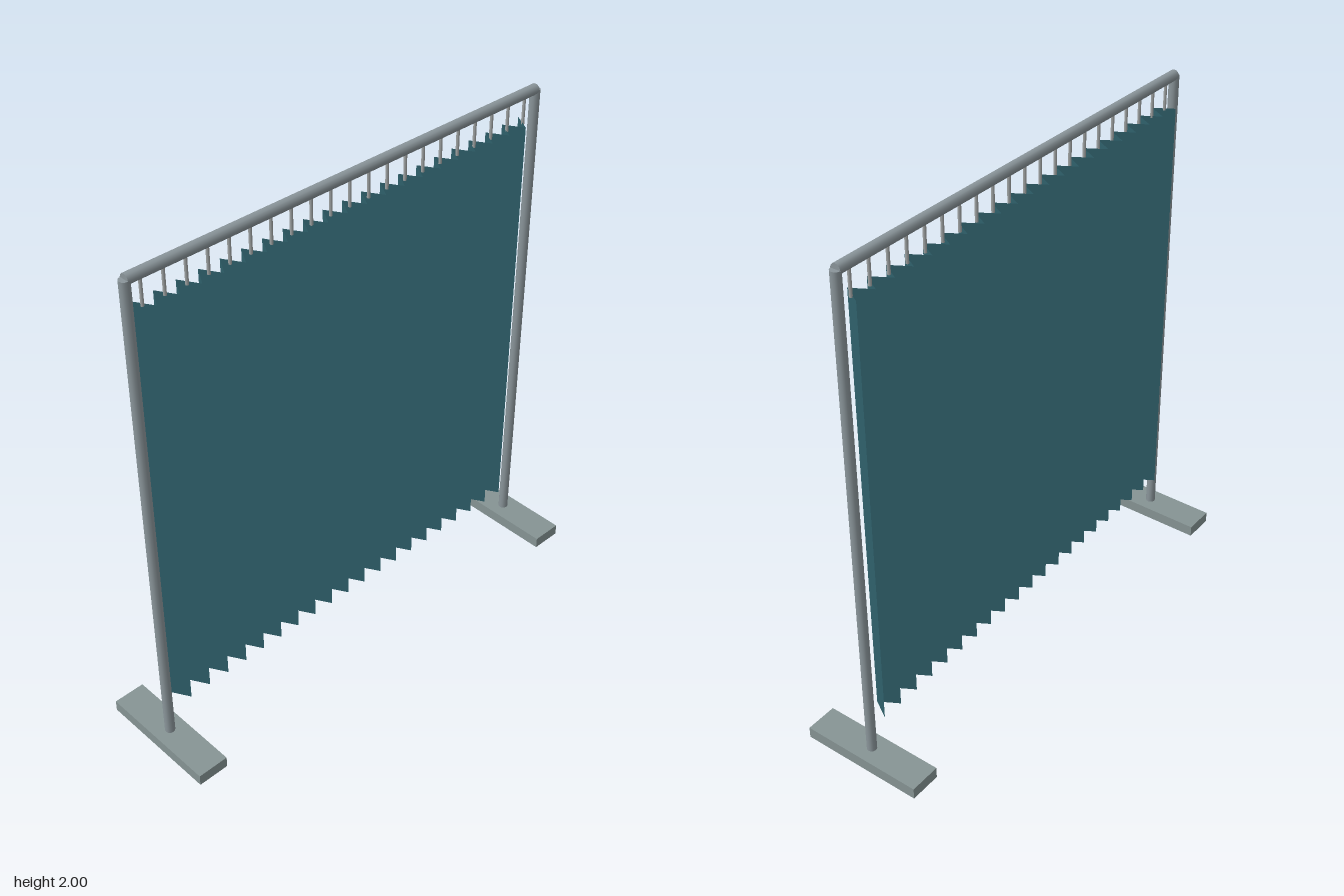
import * as THREE from 'three';

export function createModel() {
  const model = new THREE.Group();
  const material = (name, color, side = THREE.FrontSide) => {
    const m = new THREE.MeshStandardMaterial({ color, side });
    m.name = name;
    return m;
  };
  const steel = material('grey steel', 0x8a959a);
  const footGrey = material('foot grey', 0x869494);
  const hookGrey = material('hook grey', 0xa0a4a4);
  const teal = material('teal cloth', 0x2f606b, THREE.DoubleSide);

  const add = (name, geometry, mat, x = 0, y = 0, z = 0) => {
    const mesh = new THREE.Mesh(geometry, mat);
    mesh.name = name;
    mesh.position.set(x, y, z);
    model.add(mesh);
    return mesh;
  };

  // Feet and posts, mirrored
  for (const [side, s] of [['left', 1], ['right', -1]]) {
    add(side + 'Foot', new THREE.BoxGeometry(0.124, 0.045, 0.49), footGrey, s * 0.908, 0.0225);
    add(side + 'Post', new THREE.CylinderGeometry(0.019, 0.019, 1.94, 12), steel, s * 0.908, 1.01);
  }

  // Top rail
  const rail = add('topRail', new THREE.CylinderGeometry(0.02, 0.02, 1.816, 12), steel, 0, 1.98);
  rail.rotation.z = Math.PI / 2;

  // Hanging hooks
  const hookCount = 21;
  const hookGeometry = new THREE.CylinderGeometry(0.006, 0.006, 0.105, 8);
  for (let i = 0; i < hookCount; i++) {
    add('hook', hookGeometry, hookGrey, -0.852 + (1.704 * i) / (hookCount - 1), 1.915);
  }

  // Pleated curtain: a sheet folded back and forth in z
  const folds = 40;
  const sheet = new THREE.PlaneGeometry(1.74, 1.685, folds, 1);
  const p = sheet.attributes.position;
  for (let i = 0; i < p.count; i++) {
    p.setZ(i, (i % (folds + 1)) % 2 ? 0.037 : -0.037);
  }
  const curtain = sheet.toNonIndexed();
  curtain.computeVertexNormals();
  add('curtain', curtain, teal, 0, 1.0275);

  return model;
}
